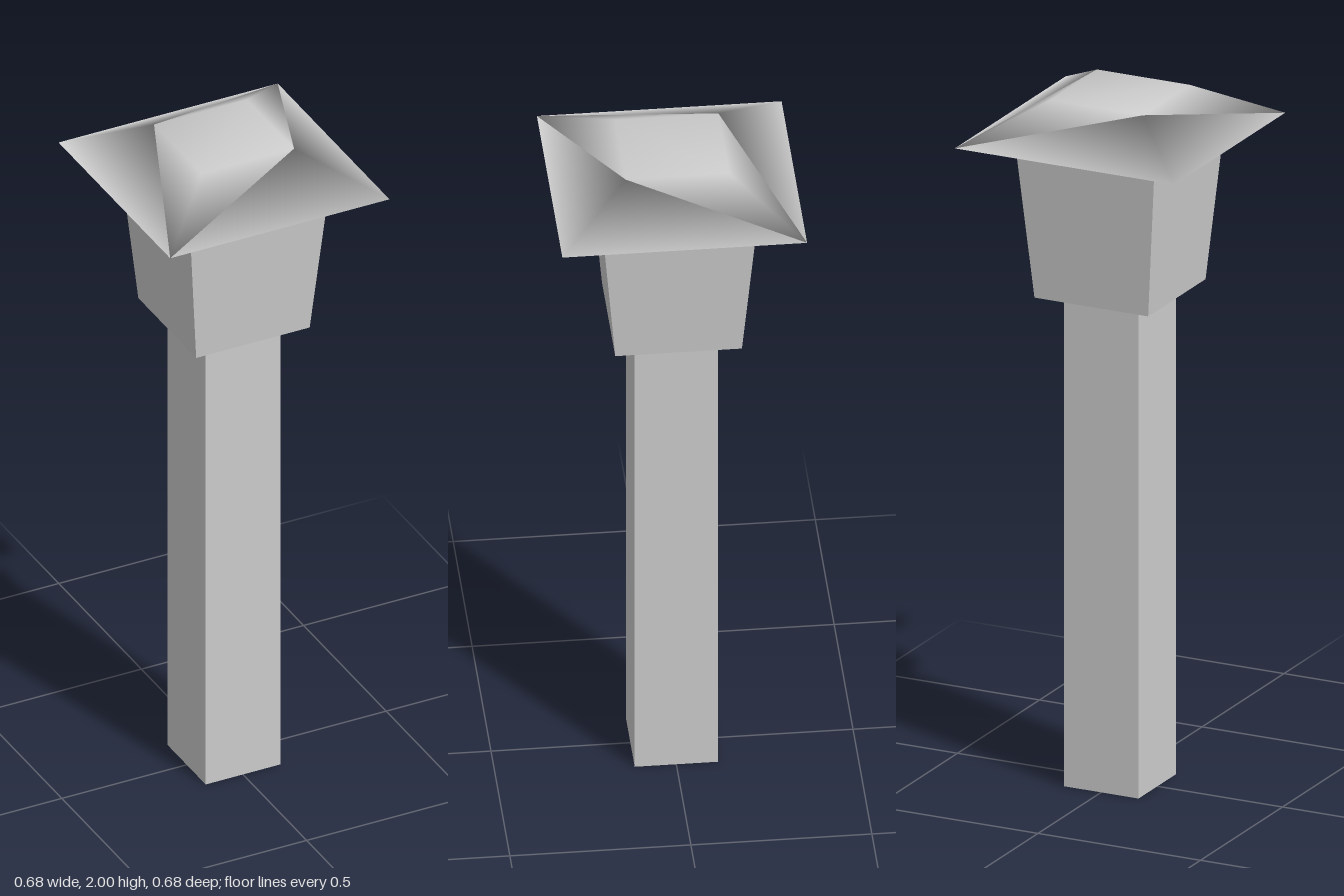
import * as THREE from 'three';

const stone = new THREE.MeshStandardMaterial({ color: 0xcccccc });
stone.name = 'lightGrey';

// Square block, with its own half-width at the bottom and at the top
function taperedBlock(name, bottomHalf, topHalf, y0, y1) {
  const geometry = new THREE.BoxGeometry(2, y1 - y0, 2);
  const p = geometry.attributes.position;
  for (let i = 0; i < p.count; i++) {
    const s = p.getY(i) > 0 ? topHalf : bottomHalf;
    p.setX(i, p.getX(i) * s);
    p.setZ(i, p.getZ(i) * s);
  }
  geometry.translate(0, (y0 + y1) / 2, 0);
  geometry.computeVertexNormals();
  const mesh = new THREE.Mesh(geometry, stone);
  mesh.name = name;
  return mesh;
}

// Truncated pyramid whose corners are shared, so it shades smoothly
function smoothCap(name, bottomHalf, topHalf, y0, y1) {
  const corners = [[-1, 1], [1, 1], [1, -1], [-1, -1]];
  const positions = [];
  for (const [half, y] of [[bottomHalf, y0], [topHalf, y1]]) {
    for (const [x, z] of corners) positions.push(x * half, y, z * half);
  }
  const index = [0, 2, 1, 0, 3, 2, 4, 5, 6, 4, 6, 7]; // underside and flat top
  for (let i = 0; i < 4; i++) {
    const j = (i + 1) % 4;
    if (i % 2 === 0) index.push(i, j, j + 4, i, j + 4, i + 4);
    else index.push(i, j, i + 4, j, j + 4, i + 4);
  }
  const geometry = new THREE.BufferGeometry();
  geometry.setAttribute('position', new THREE.Float32BufferAttribute(positions, 3));
  geometry.setIndex(index);
  geometry.computeVertexNormals();
  const mesh = new THREE.Mesh(geometry, stone);
  mesh.name = name;
  return mesh;
}

export function createModel() {
  const model = new THREE.Group();
  model.name = 'postLamp';
  model.add(
    taperedBlock('post', 0.115, 0.115, 0, 1.43),
    taperedBlock('lampHousing', 0.175, 0.215, 1.43, 1.89),
    smoothCap('roofCap', 0.338, 0.143, 1.889, 2),
  );
  return model;
}
